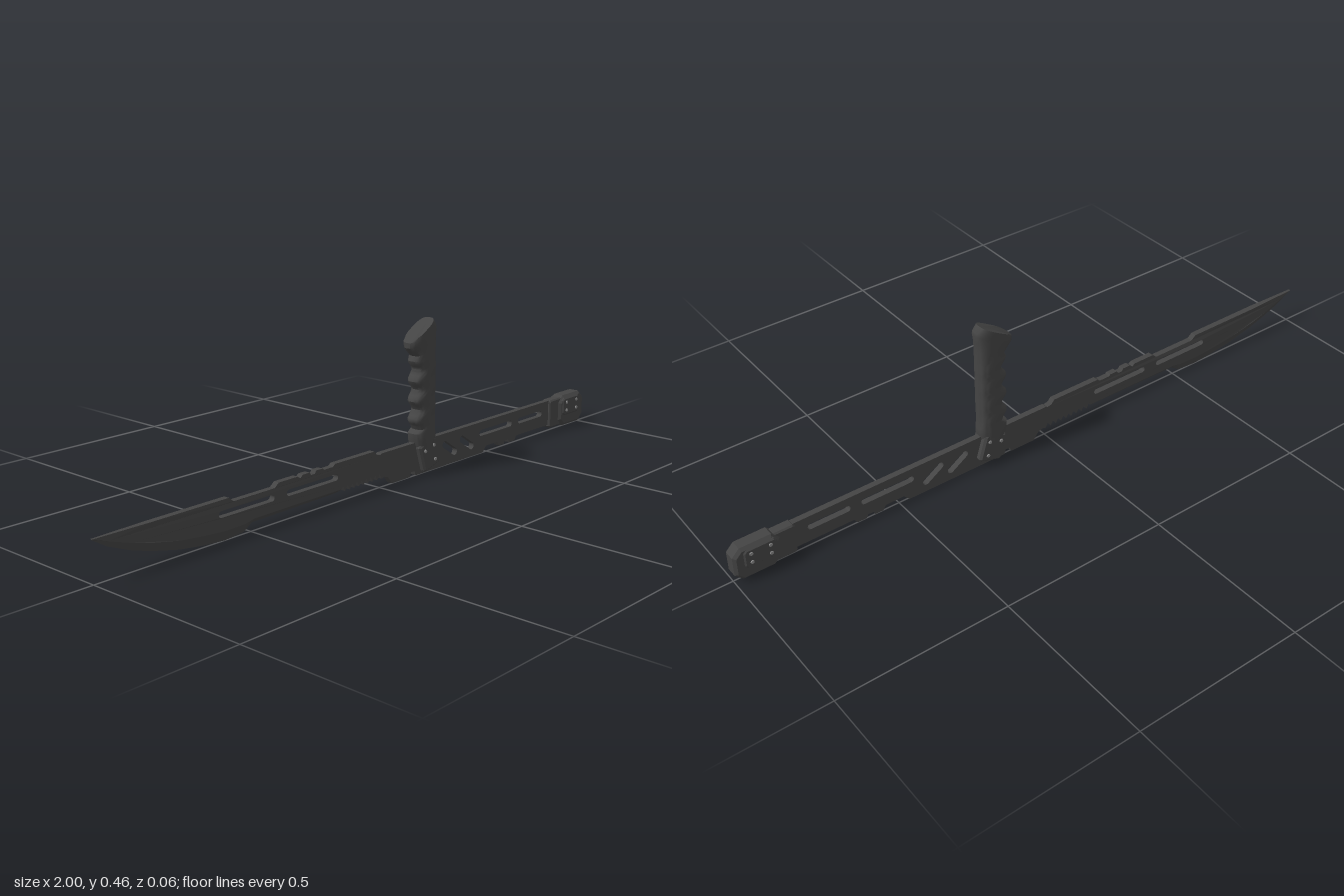
import * as THREE from 'three';
import { toCreasedNormals } from 'three/addons/utils/BufferGeometryUtils.js';

const dark = new THREE.MeshStandardMaterial({ color: 0x444444 });
const steel = new THREE.MeshStandardMaterial({ color: 0x444444, side: THREE.DoubleSide });
const light = new THREE.MeshStandardMaterial({ color: 0x888888 });

const HALF = 0.009;
// Half thickness along the bar; it thins towards the tip
const halfAt = (x) => (x < -0.83 ? HALF * (0.4 + (0.6 * (x + 1)) / 0.17) : HALF);

function add(parent, name, geometry, material = dark) {
  const mesh = new THREE.Mesh(geometry, material);
  mesh.name = name;
  parent.add(mesh);
  return mesh;
}

const outline = (pts) => new THREE.Shape(pts.map(([x, y]) => new THREE.Vector2(x, y)));

// Plate centred on z = 0, with an optional chamfer inside its outline
function plate(shape, half, bevel = 0) {
  const g = new THREE.ExtrudeGeometry(shape, {
    depth: 2 * (half - bevel), bevelEnabled: bevel > 0, bevelSize: bevel,
    bevelThickness: bevel, bevelOffset: -bevel, bevelSegments: 1, curveSegments: 6,
  });
  return g.translate(0, 0, bevel - half);
}

// Rectangle with cut corners
function cutRect(x0, y0, x1, y1, c) {
  return outline([[x0 + c, y0], [x1 - c, y0], [x1, y0 + c], [x1, y1 - c],
    [x1 - c, y1], [x0 + c, y1], [x0, y1 - c], [x0, y0 + c]]);
}

// Round-ended slot between two points
function slot(x0, y0, x1, y1, w) {
  const a = Math.atan2(y1 - y0, x1 - x0), p = new THREE.Path();
  p.absarc(x1, y1, w / 2, a - Math.PI / 2, a + Math.PI / 2);
  p.absarc(x0, y0, w / 2, a + Math.PI / 2, a + Math.PI * 1.5);
  p.closePath();
  return p;
}

// Rivets on both faces
function rivets(parent, spots, z, r = 0.006) {
  for (const [x, y] of spots) for (const s of [1, -1]) {
    const g = new THREE.CylinderGeometry(r * 0.8, r, 0.004, 10).rotateX((s * Math.PI) / 2);
    add(parent, 'rivet', g, light).position.set(x, y, s * z);
  }
}

// x, bevel line y, cutting edge y
const EDGE = [[-1, 0.113, 0.111], [-0.955, 0.097, 0.083], [-0.89, 0.076, 0.056],
  [-0.83, 0.06, 0.037], [-0.74, 0.042, 0.016], [-0.66, 0.033, 0.005], [-0.59, 0.028, 0],
  [-0.525, 0.029, 0.005], [-0.495, 0.036, 0.024], [-0.18, 0.036, 0.027], [-0.165, 0.036, 0.036]];

function barGeometry() {
  const pts = EDGE.map(([x, y]) => [x, y]);
  // Saw teeth
  for (let i = 0; i < 9; i++) pts.push([-0.16 + i * 0.019, 0.044], [-0.151 + i * 0.019, 0.028]);
  // Underside of the bar
  pts.push([0.01, 0.032], [0.028, 0.026], [0.045, 0.004], [0.125, 0.004], [0.13, 0.018],
    [0.145, 0.018], [0.15, 0.004], [0.47, 0.004], [0.488, 0.022], [0.545, 0.022],
    [0.555, 0.008], [0.58, 0.008], [0.585, 0.018], [0.602, 0.018], [0.607, 0.008],
    [0.635, 0.008], [0.645, 0.022], [0.84, 0.022]);
  // Spine, back towards the tip
  pts.push([0.84, 0.103], [0, 0.103], [-0.005, 0.1], [-0.02, 0.103], [-0.03, 0.115], [-0.19, 0.115],
    [-0.2, 0.108], [-0.235, 0.108], [-0.24, 0.113], [-0.265, 0.113], [-0.27, 0.105],
    [-0.285, 0.105], [-0.29, 0.113], [-0.315, 0.113], [-0.325, 0.105], [-0.335, 0.112],
    [-0.405, 0.112], [-0.42, 0.1], [-0.565, 0.1], [-0.58, 0.113], [-0.83, 0.113]);
  const shape = outline(pts);
  shape.holes.push(
    slot(-0.607, 0.075, -0.43, 0.075, 0.018), slot(-0.367, 0.075, -0.188, 0.075, 0.018),
    slot(0.285, 0.068, 0.332, 0.037, 0.022), slot(0.367, 0.068, 0.414, 0.037, 0.022),
    slot(0.462, 0.068, 0.61, 0.068, 0.019), slot(0.662, 0.068, 0.772, 0.068, 0.019));
  const g = plate(shape, HALF), p = g.attributes.position;
  for (let i = 0; i < p.count; i++) p.setZ(i, Math.sign(p.getZ(i)) * halfAt(p.getX(i)));
  g.computeVertexNormals();
  return g;
}

// Ground wedge below the bevel line
function edgeGeometry() {
  const v = [];
  for (let i = 0; i + 1 < EDGE.length; i++) {
    const [x0, t0, b0] = EDGE[i], [x1, t1, b1] = EDGE[i + 1];
    const h0 = halfAt(x0), h1 = halfAt(x1);
    v.push(x0, b0, 0, x1, b1, 0, x1, t1, h1, x0, b0, 0, x1, t1, h1, x0, t0, h0);
    v.push(x0, b0, 0, x1, t1, -h1, x1, b1, 0, x0, b0, 0, x0, t0, -h0, x1, t1, -h1);
  }
  const g = new THREE.BufferGeometry();
  g.setAttribute('position', new THREE.Float32BufferAttribute(v, 3));
  g.computeVertexNormals();
  return toCreasedNormals(g, 0.5);
}

// Grip lofted from rounded sections, each spanning a left and a right point
function gripGeometry() {
  const rows = [[0.152, 0.085, 0.225, 0.085], [0.143, 0.108, 0.232, 0.11], [0.141, 0.13, 0.231, 0.13]];
  for (let i = 0; i <= 24; i++) {
    const y = 0.14 + (i / 24) * 0.205;
    rows.push([0.149 + 0.009 * Math.cos((i / 24) * Math.PI * 7), y, 0.229, y + 0.01]);
  }
  rows.push([0.146, 0.36, 0.229, 0.385], [0.132, 0.374, 0.23, 0.412],
    [0.12, 0.386, 0.234, 0.438], [0.119, 0.402, 0.232, 0.447], [0.128, 0.41, 0.219, 0.463]);
  const n = 28, v = [], idx = [];
  const round = (c) => Math.sign(c) * Math.abs(c) ** 0.7;
  for (const [lx, ly, rx, ry] of rows) for (let j = 0; j < n; j++) {
    const a = (j / n) * Math.PI * 2, t = (round(Math.cos(a)) + 1) / 2;
    v.push(lx + (rx - lx) * t, ly + (ry - ly) * t, 0.029 * round(Math.sin(a)));
  }
  for (let i = 0; i + 1 < rows.length; i++) for (let j = 0; j < n; j++) {
    const a = i * n + j, b = i * n + ((j + 1) % n);
    idx.push(a, a + n, b, b, a + n, b + n);
  }
  const top = (rows.length - 1) * n;
  for (let j = 1; j + 1 < n; j++) idx.push(top, top + j + 1, top + j, 0, j, j + 1);
  const g = new THREE.BufferGeometry();
  g.setAttribute('position', new THREE.Float32BufferAttribute(v, 3));
  g.setIndex(idx);
  return toCreasedNormals(g, 0.7);
}

export function createModel() {
  const model = new THREE.Group();
  model.name = 'bladedBaton';
  add(model, 'bladeBar', barGeometry(), steel);
  add(model, 'cuttingEdge', edgeGeometry(), steel);
  add(model, 'grip', gripGeometry());

  // Tilted clamp joining the grip to the bar
  const clamp = new THREE.Group();
  clamp.name = 'gripClamp';
  clamp.position.set(0.198, 0.06, 0);
  clamp.rotation.z = 0.3;
  add(clamp, 'clampBlock', plate(cutRect(-0.038, -0.042, 0.038, 0.045, 0.006), 0.027, 0.006));
  rivets(clamp, [[-0.02, 0.022], [0.02, 0.022], [0.014, -0.022]], 0.028);
  model.add(clamp);

  // Pommel: collar, chamfered block and riveted side plates
  const pommel = new THREE.Group();
  pommel.name = 'pommel';
  add(pommel, 'collar', plate(cutRect(0.818, 0.012, 0.885, 0.104, 0.006), 0.016, 0.004));
  add(pommel, 'pommelBlock', plate(cutRect(0.865, 0.008, 1, 0.11, 0.022), 0.024, 0.008));
  add(pommel, 'sidePlates', plate(cutRect(0.877, 0.044, 0.972, 0.102, 0.008), 0.028, 0.004));
  rivets(pommel, [[0.897, 0.06], [0.897, 0.087], [0.952, 0.06], [0.952, 0.087]], 0.0285);
  model.add(pommel);
  return model;
}
